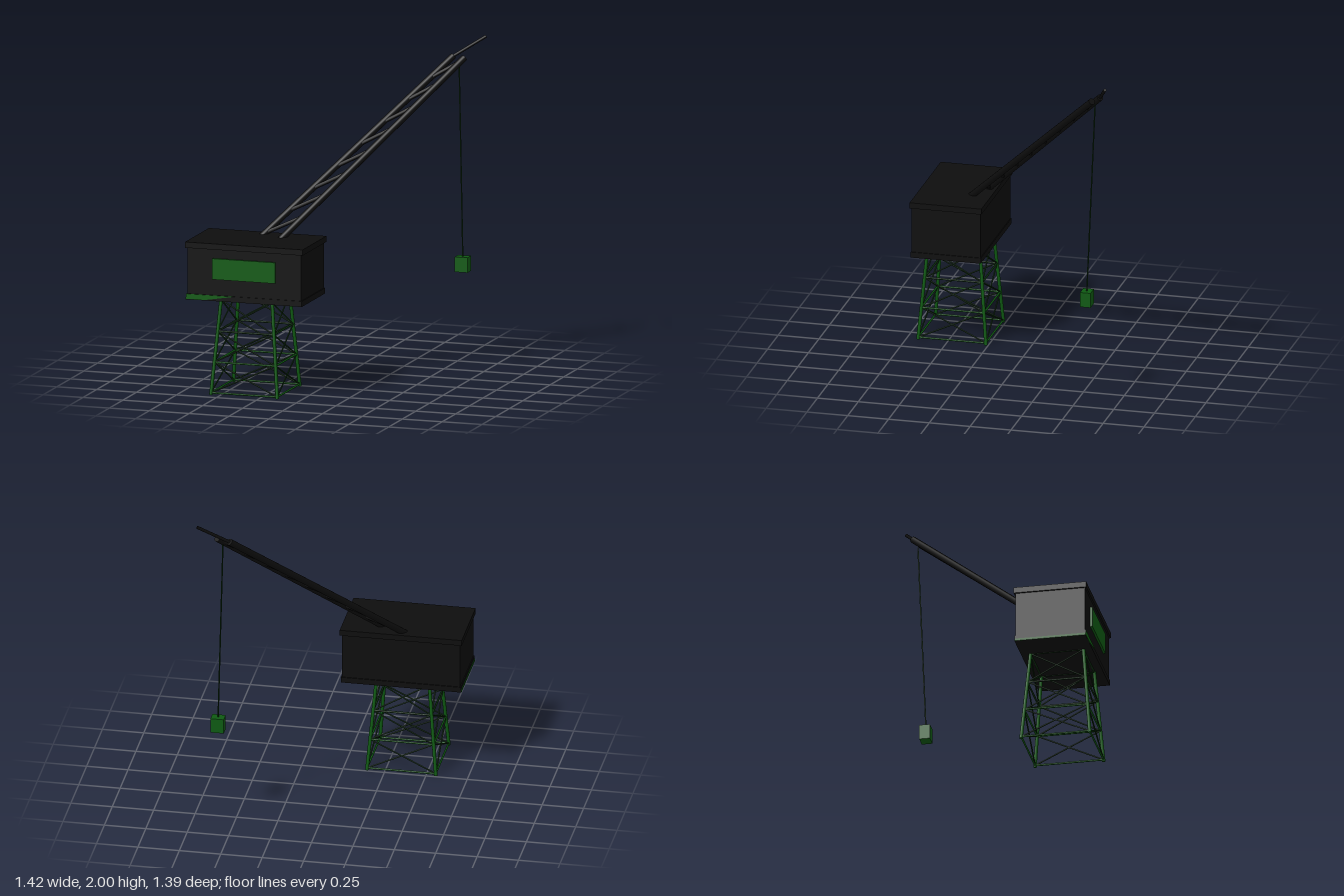
import * as THREE from 'three';

const mat = (name, color) => {
  const m = new THREE.MeshStandardMaterial({ color });
  m.name = name;
  return m;
};

export function createModel() {
  const crane = new THREE.Group();
  crane.name = 'towerCrane';
  const black = mat('black', 0x0d0d0d);
  const green = mat('green', 0x0e5a12);
  const darkGreen = mat('dark green', 0x0a2e0d);

  const V = (x, y, z) => new THREE.Vector3(x, y, z);

  // Round bar between two points
  function bar(name, a, b, radius, material, parent, sides = 10) {
    const mesh = new THREE.Mesh(new THREE.CylinderGeometry(radius, radius, a.distanceTo(b), sides), material);
    mesh.name = name;
    mesh.position.copy(a).lerp(b, 0.5);
    mesh.quaternion.setFromUnitVectors(V(0, 1, 0), b.clone().sub(a).normalize());
    parent.add(mesh);
  }

  // Box given by its lower and upper corners
  function box(name, lo, hi, material, parent) {
    const mesh = new THREE.Mesh(new THREE.BoxGeometry(hi[0] - lo[0], hi[1] - lo[1], hi[2] - lo[2]), material);
    mesh.name = name;
    mesh.position.set((lo[0] + hi[0]) / 2, (lo[1] + hi[1]) / 2, (lo[2] + hi[2]) / 2);
    parent.add(mesh);
  }

  const group = (name) => {
    const g = new THREE.Group();
    g.name = name;
    crane.add(g);
    return g;
  };

  // Tapered lattice tower: legs, horizontal rings and crossed braces
  const tower = group('tower');
  const corners = [[-1, -1], [1, -1], [1, 1], [-1, 1]];
  const levels = [0.012, 0.195, 0.38, 0.57];
  const node = (c, y) => {
    const half = 0.208 - 0.048 * (y / 0.57);
    return V(-0.35 + corners[c % 4][0] * half, y, 0.472 + corners[c % 4][1] * half);
  };
  for (let c = 0; c < 4; c++) {
    bar('leg', node(c, 0), node(c, 0.58), 0.0105, green, tower);
    levels.forEach((y, i) => {
      bar('ring', node(c, y), node(c + 1, y), 0.006, i < 2 ? green : darkGreen, tower, 8);
      if (i === 3) return;
      bar('brace', node(c, y), node(c + 1, levels[i + 1]), 0.0045, darkGreen, tower, 8);
      bar('brace', node(c + 1, y), node(c, levels[i + 1]), 0.0045, darkGreen, tower, 8);
    });
  }

  // Cabin with overhanging roof, floor and front window
  const cabin = group('cabin');
  box('cabinBody', [-0.705, 0.59, 0.26], [0.007, 0.89, 0.68], black, cabin);
  box('roof', [-0.717, 0.88, 0.25], [0.02, 0.915, 0.69], black, cabin);
  box('floor', [-0.711, 0.568, 0.255], [0.013, 0.602, 0.685], black, cabin);
  box('window', [-0.545, 0.7, 0.675], [-0.152, 0.826, 0.693], green, cabin);

  // Green floor trim on the front and outer side
  const trim = new THREE.Shape([[-0.711, 0.57], [-0.6, 0.57], [-0.41, 0.602], [-0.711, 0.602]].map((p) => new THREE.Vector2(...p)));
  const trimMesh = new THREE.Mesh(new THREE.ExtrudeGeometry(trim, { depth: 0.003, bevelEnabled: false }), green);
  trimMesh.name = 'frontFloorTrim';
  trimMesh.position.z = 0.684;
  cabin.add(trimMesh);
  box('sideFloorTrim', [-0.714, 0.568, 0.255], [-0.71, 0.582, 0.687], green, cabin);

  // Flat ladder boom: two rails joined by parallel slanted struts
  const boom = group('boom');
  const a0 = V(-0.365, 0.9, 0.315), a1 = V(0.522, 1.873, -0.608);
  const b0 = V(-0.228, 0.9, 0.378), b1 = V(0.602, 1.873, -0.578);
  bar('boomRail', a0, a1, 0.02, black, boom, 12);
  bar('boomRail', b0, b1, 0.02, black, boom, 12);
  const struts = 8;
  for (let i = 0; i < struts; i++) {
    const t = 0.02 + 0.122 * i;
    bar('boomStrut', a0.clone().lerp(a1, t), b0.clone().lerp(b1, t + 0.108), 0.012, black, boom);
  }
  bar('tipSpar', a1, V(0.702, 1.99, -0.684), 0.0095, black, boom);

  // Hoist cable and hanging weight
  const hoist = group('hoist');
  bar('cable', V(0.565, 1.84, -0.588), V(0.602, 0.67, -0.547), 0.0042, darkGreen, hoist, 8);
  box('weight', [0.562, 0.586, -0.58], [0.642, 0.677, -0.515], green, hoist);

  return crane;
}
